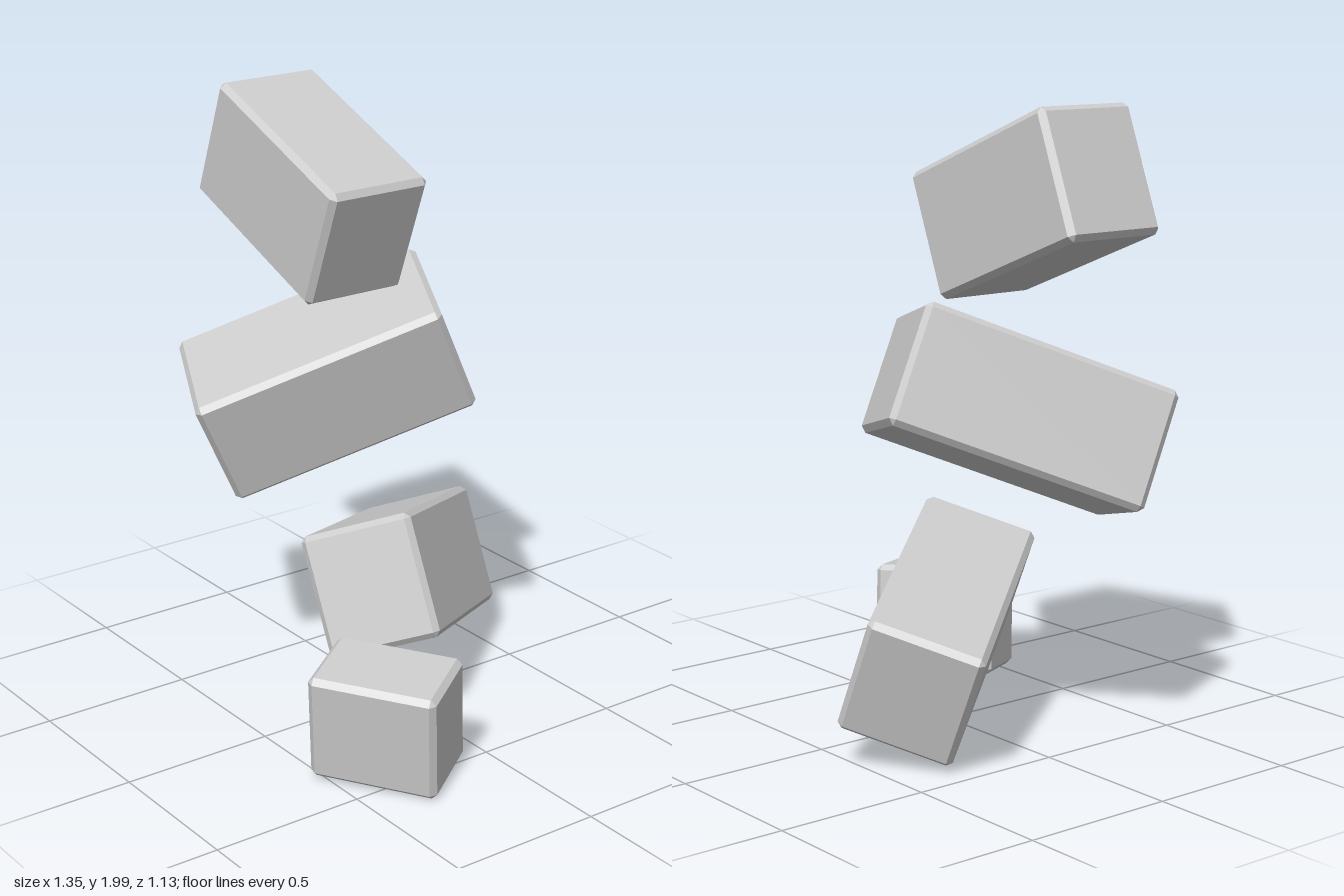
import * as THREE from 'three';
import { ConvexGeometry } from 'three/addons/geometries/ConvexGeometry.js';

const BEVEL = 0.018;

// Box with flat chamfered edges: the hull of its six inset faces
function chamferedBox(w, h, d) {
  const half = [w / 2, h / 2, d / 2];
  const points = [];
  for (let axis = 0; axis < 3; axis++) {
    for (const sx of [-1, 1]) for (const sy of [-1, 1]) for (const sz of [-1, 1]) {
      const s = [sx, sy, sz];
      points.push(new THREE.Vector3(...half.map((v, i) => s[i] * (i === axis ? v : v - BEVEL))));
    }
  }
  return new ConvexGeometry(points);
}

// Each brick: size along its own axes, centre, long direction and a rough up direction
const bricks = [
  { name: 'topBrick', size: [0.665, 0.41, 0.36], at: [-0.283, 1.685, 0.1], along: [0.931, -0.365, 0], up: [0.365, 0.931, 0] },
  { name: 'upperBrick', size: [0.83, 0.39, 0.425], at: [-0.291, 1.047, 0.04], along: [-0.382, -0.296, 0.66], up: [0.025, 0.354, 0.16] },
  { name: 'lowerBrick', size: [0.825, 0.405, 0.37], at: [-0.134, 0.363, -0.146], along: [0.488, 0.213, 0.615], up: [-0.172, 0.352, -0.012] },
  { name: 'halfBrick', size: [0.41, 0.355, 0.275], at: [0.43, 0.197, 0.33], along: [0.335, -0.011, -0.22], up: [0.02, 0.335, 0.035] },
];

export function createModel() {
  const group = new THREE.Group();
  group.name = 'tumblingBricks';
  const material = new THREE.MeshStandardMaterial({ color: 0xcccccc, flatShading: true });

  for (const { name, size, at, along, up } of bricks) {
    const x = new THREE.Vector3(...along).normalize();
    const z = new THREE.Vector3().crossVectors(x, new THREE.Vector3(...up)).normalize();
    const y = new THREE.Vector3().crossVectors(z, x);
    const brick = new THREE.Mesh(chamferedBox(...size), material);
    brick.name = name;
    brick.quaternion.setFromRotationMatrix(new THREE.Matrix4().makeBasis(x, y, z));
    brick.position.set(...at);
    group.add(brick);
  }

  // Rest the lowest corner on the ground and centre the pile
  group.updateMatrixWorld(true);
  const box = new THREE.Box3().setFromObject(group, true);
  const centre = box.getCenter(new THREE.Vector3());
  for (const brick of group.children) {
    brick.position.sub(new THREE.Vector3(centre.x, box.min.y, centre.z));
  }
  return group;
}
